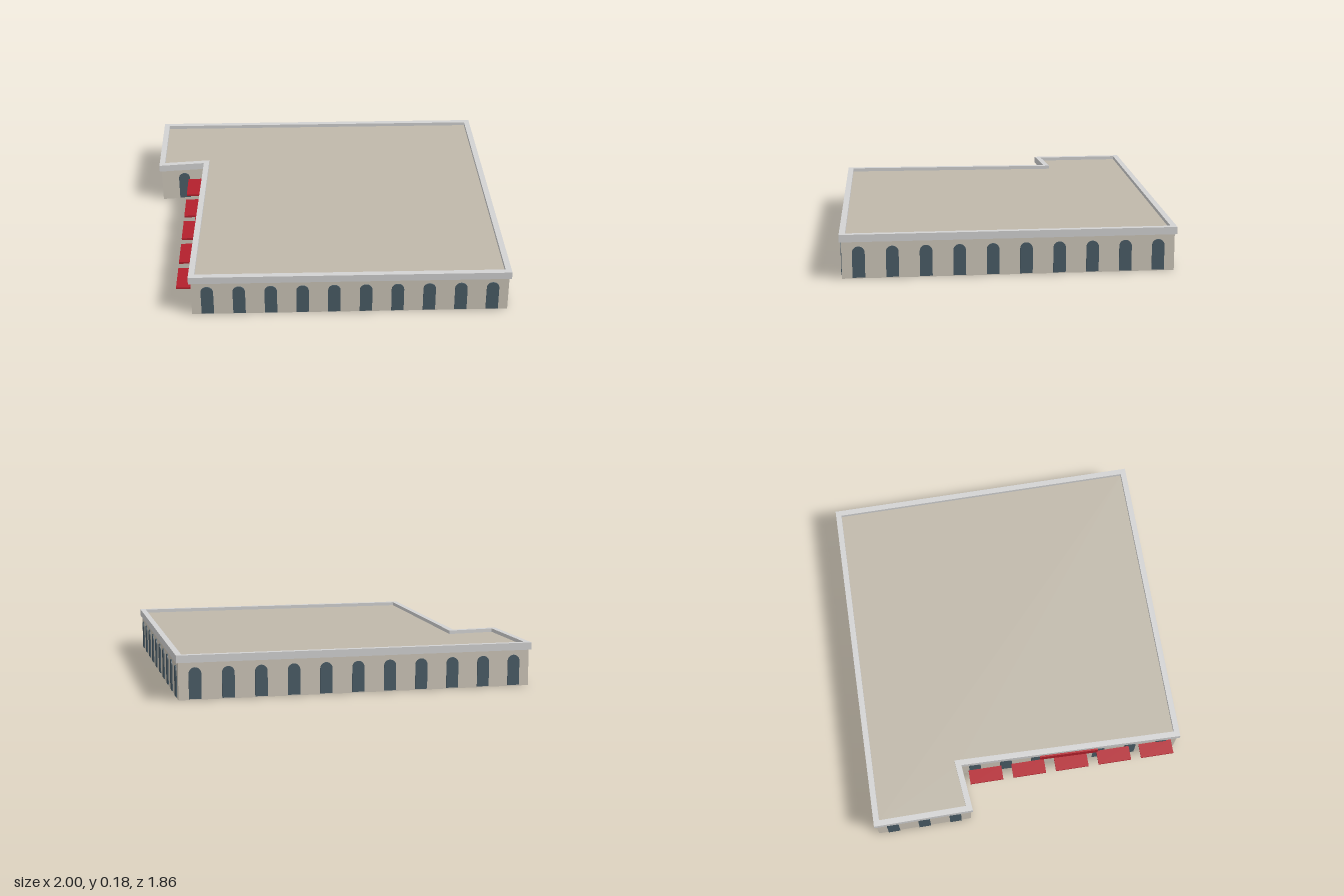
import * as THREE from 'three';

const material = (name, color, side = THREE.FrontSide) => {
  const m = new THREE.MeshStandardMaterial({ color, side });
  m.name = name;
  return m;
};

// Cornice footprint as [x, z], walked so that the outside is on the same hand of every edge
const OUTLINE = [[-1, 0.095], [-0.7, 0.388], [-0.572, 0.232], [0.083, 0.913], [1, 0.003], [0.043, -0.938]];
const WINDOWS = [3, 1, 7, 10, 10, 11];
const WALL_TOP = 0.165, CORNICE_BOTTOM = 0.15, HEIGHT = 0.18;

// Move every edge inward by d and mitre the corners
function inset(points, d) {
  const n = points.length;
  const normal = (a, b) => {
    const dx = b[0] - a[0], dz = b[1] - a[1], l = Math.hypot(dx, dz);
    return [dz / l, -dx / l];
  };
  return points.map((p, i) => {
    const a = normal(points[(i + n - 1) % n], p), b = normal(p, points[(i + 1) % n]);
    const k = d / (1 + a[0] * b[0] + a[1] * b[1]);
    return [p[0] + k * (a[0] + b[0]), p[1] + k * (a[1] + b[1])];
  });
}

const vectors = (points) => points.map(([x, z]) => new THREE.Vector2(x, -z));

// Round-headed window, standing on the ground line
function windowGeometry(width, height, depth) {
  const r = width / 2;
  const s = new THREE.Shape();
  s.moveTo(-r, 0.004);
  s.lineTo(r, 0.004);
  s.lineTo(r, height - r);
  s.absarc(0, height - r, r, 0, Math.PI, false);
  s.closePath();
  return new THREE.ExtrudeGeometry(s, { depth, bevelEnabled: false, curveSegments: 8 }).translate(0, 0, -depth / 2);
}

export function createModel() {
  const model = new THREE.Group();
  model.name = 'building';
  const stone = material('stone', 0xcdc6b9, THREE.DoubleSide);
  const roofing = material('roofing', 0xbfb8aa, THREE.DoubleSide);
  const trim = material('pale trim', 0xd2d2d2);
  const glass = material('dark glass', 0x4a5c66);
  const red = material('red', 0xb3202c);

  const add = (parent, name, geometry, mat, x = 0, y = 0, z = 0) => {
    const mesh = new THREE.Mesh(geometry, mat);
    mesh.name = name;
    mesh.position.set(x, y, z);
    parent.add(mesh);
    return mesh;
  };

  // Walls with evenly spaced windows; local x runs along the wall, +z points out
  const corners = inset(OUTLINE, 0.0085);
  const pane = windowGeometry(0.05, 0.13, 0.008);
  corners.forEach((a, i) => {
    const b = corners[(i + 1) % corners.length];
    const dx = b[0] - a[0], dz = b[1] - a[1], length = Math.hypot(dx, dz);
    const side = new THREE.Group();
    side.name = `wallSide${i + 1}`;
    side.position.set((a[0] + b[0]) / 2, 0, (a[1] + b[1]) / 2);
    side.rotation.y = Math.atan2(-dz, dx);
    model.add(side);
    add(side, 'wall', new THREE.PlaneGeometry(length, WALL_TOP), stone, 0, WALL_TOP / 2, 0);
    for (let k = 0; k < WINDOWS[i]; k++) {
      add(side, 'window', pane, glass, ((k + 0.5) / WINDOWS[i] - 0.5) * length);
    }
    // Blank sign board over the middle of the awning side
    if (i === 2) add(side, 'signBoard', new THREE.BoxGeometry(0.25, 0.038, 0.008), red, 0, 0.14, 0.0115);
  });

  // Flat roof, sunk behind the cornice
  const roof = new THREE.ShapeGeometry(new THREE.Shape(vectors(corners))).rotateX(-Math.PI / 2);
  add(model, 'roof', roof, roofing, 0, WALL_TOP, 0);

  // Cornice and parapet ring
  const ring = new THREE.Shape(vectors(OUTLINE));
  ring.holes.push(new THREE.Path(vectors(inset(OUTLINE, 0.024))));
  const cornice = new THREE.ExtrudeGeometry(ring, { depth: HEIGHT - CORNICE_BOTTOM, bevelEnabled: false });
  add(model, 'cornice', cornice.rotateX(-Math.PI / 2), trim, 0, CORNICE_BOTTOM, 0);

  // Row of flat awnings
  const awning = new THREE.BoxGeometry(0.142, 0.008, 0.06);
  for (let k = 0; k < 5; k++) {
    add(model, 'awning', awning, red, -0.531 + k * 0.1315, 0.11, 0.331 + k * 0.131).rotation.y = -Math.PI / 4;
  }
  return model;
}
